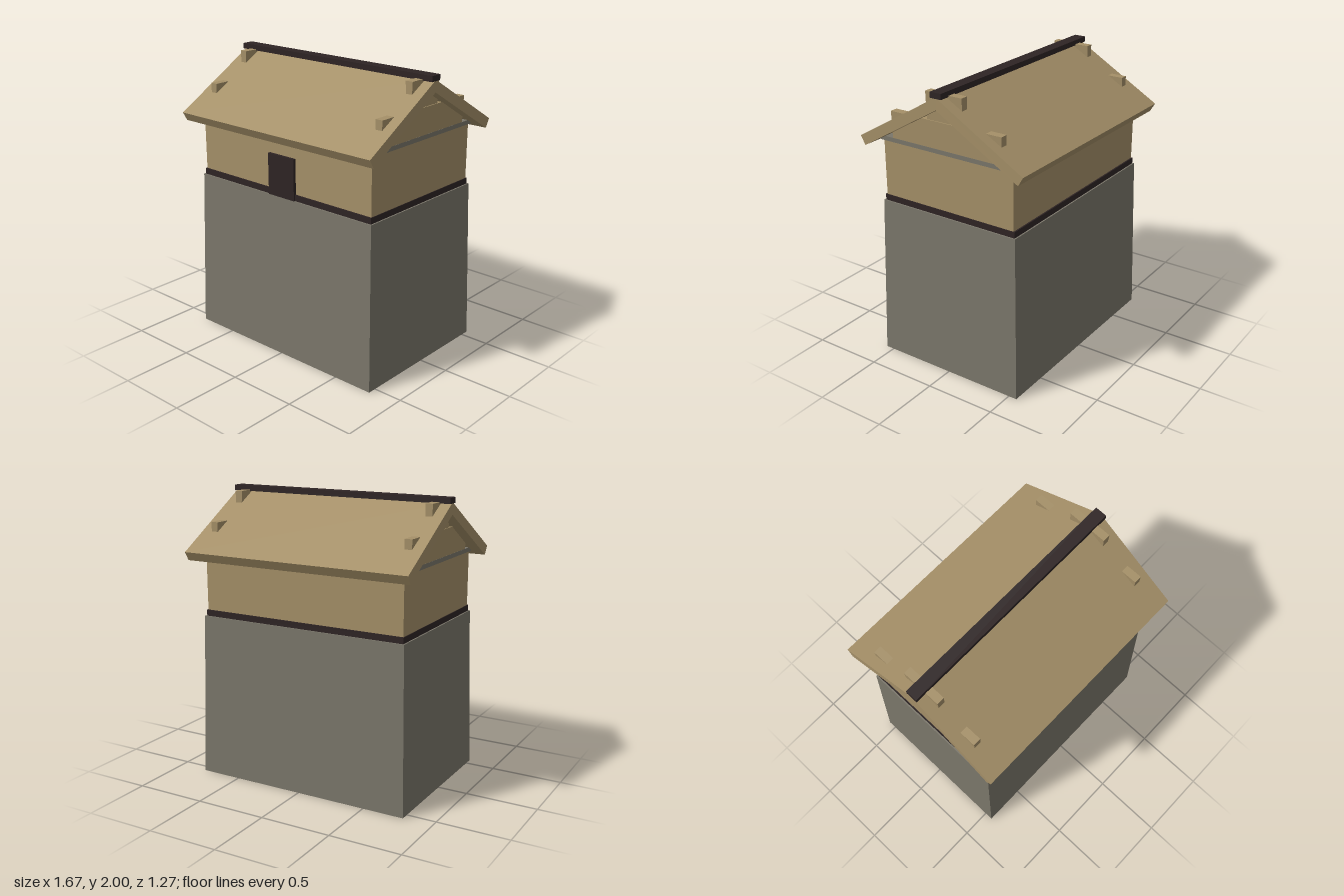
import * as THREE from 'three';

const material = (name, color, side = THREE.FrontSide) =>
  Object.assign(new THREE.MeshStandardMaterial({ color, side }), { name });

// Box from y0 to y1 whose bottom and top have their own half sizes
function taperedBox(y0, y1, bottom, top) {
  const g = new THREE.BoxGeometry(2, y1 - y0, 2);
  g.translate(0, (y0 + y1) / 2, 0);
  const p = g.attributes.position;
  const mid = (y0 + y1) / 2;
  for (let i = 0; i < p.count; i++) {
    const [hx, hz] = p.getY(i) > mid ? top : bottom;
    p.setX(i, p.getX(i) * hx);
    p.setZ(i, p.getZ(i) * hz);
  }
  g.computeVertexNormals();
  return g;
}

export function createModel() {
  const model = new THREE.Group();
  model.name = 'storehouse';

  const stone = material('stone grey', 0x7a766a, THREE.DoubleSide);
  const timber = material('timber tan', 0xa59068);
  const dark = material('dark wood', 0x2e2424);

  const add = (name, geometry, mat, x = 0, y = 0, z = 0) => {
    const mesh = new THREE.Mesh(geometry, mat);
    mesh.name = name;
    mesh.position.set(x, y, z);
    model.add(mesh);
    return mesh;
  };
  const block = (name, y0, y1, hx, hz, mat) =>
    add(name, taperedBox(y0, y1, [hx, hz], [hx, hz]), mat);

  // Battered stone base, hollow and open underneath
  const base = taperedBox(0, 1.145, [0.793, 0.56], [0.765, 0.53]);
  const index = Array.from(base.index.array);
  index.splice(18, 6); // the underside
  base.setIndex(index);
  base.clearGroups();
  add('stoneBase', base, stone);

  // Upper storey
  block('sillBeam', 1.145, 1.187, 0.755, 0.52, dark);
  block('upperWalls', 1.187, 1.57, 0.75, 0.51, timber);
  block('atticFloor', 1.57, 1.6, 0.755, 0.535, stone);
  add('door', new THREE.BoxGeometry(0.23, 0.287, 0.02), dark, 0, 1.2875, 0.52);

  // Stepped gable blocks that poke through the roof at both ends
  for (const side of [-1, 1]) {
    const lower = taperedBox(1.6, 1.785, [0.02, 0.43], [0.027, 0.43]);
    const upper = taperedBox(1.785, 1.97, [0.02, 0.14], [0.027, 0.14]);
    add('lowerGableBlock', lower, timber, side * 0.734);
    add('upperGableBlock', upper, timber, side * 0.734);
  }

  // Pitched roof: chevron profile run along x
  const profile = new THREE.Shape([
    [0, 1.97], [-0.635, 1.6], [-0.6, 1.54], [0, 1.89], [0.6, 1.54], [0.635, 1.6],
  ].map(([z, y]) => new THREE.Vector2(z, y)));
  const roof = new THREE.ExtrudeGeometry(profile, { depth: 1.67, bevelEnabled: false });
  roof.translate(0, 0, -0.835);
  roof.rotateY(Math.PI / 2);
  add('roof', roof, timber);

  block('ridgeBeam', 1.962, 2, 0.836, 0.042, dark);

  return model;
}
